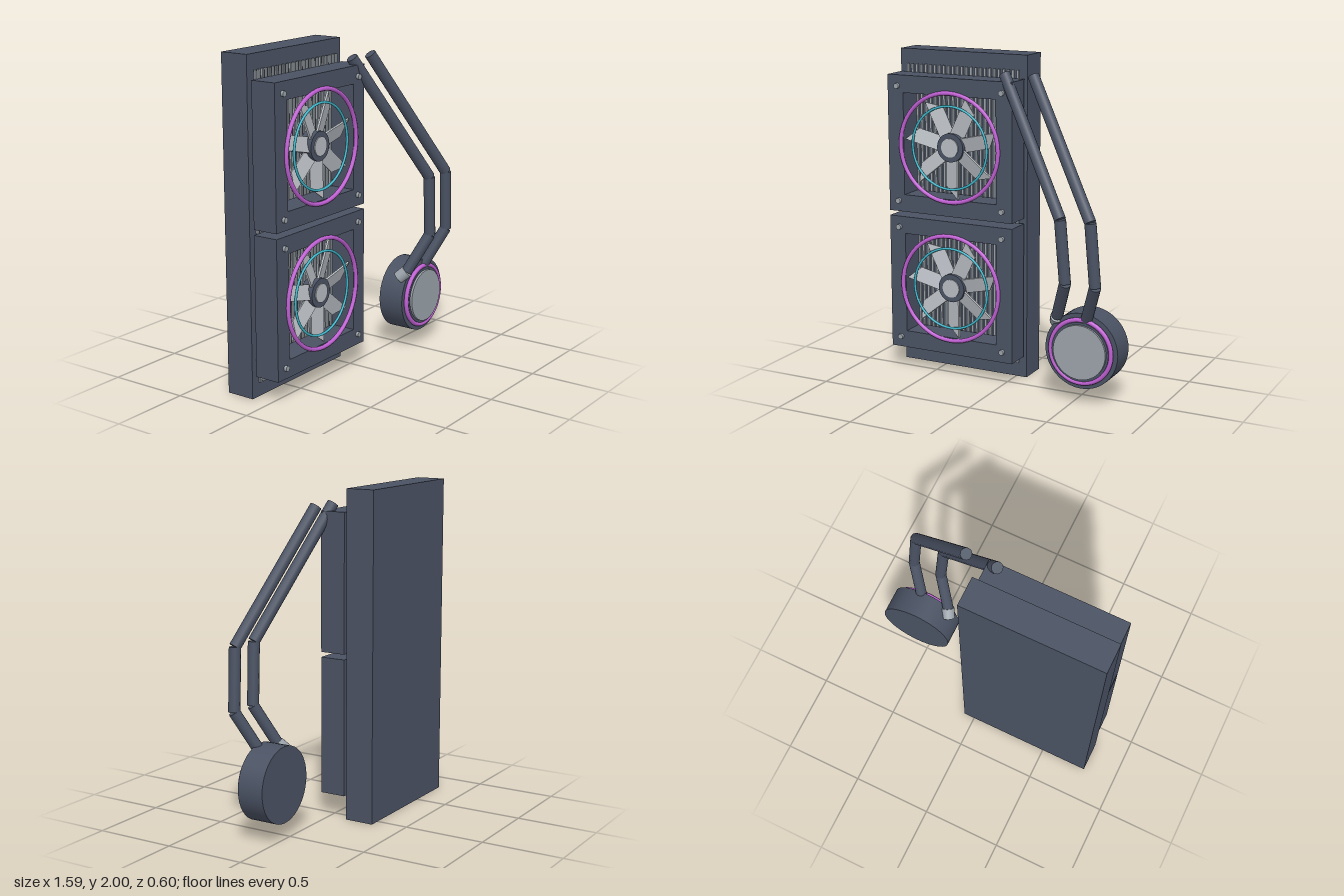
import * as THREE from 'three';

const mat = (name, color) => {
  const m = new THREE.MeshStandardMaterial({ color });
  m.name = name;
  return m;
};

export function createModel() {
  const dark = mat('slate', 0x4a5263);
  const blade = mat('lightGrey', 0xb8bdc3);
  const steel = mat('steelGrey', 0x9ba3aa);
  const pink = mat('violet', 0xc060d4);
  const cyan = mat('cyan', 0x3fb8cc);

  const model = new THREE.Group();
  model.name = 'liquidCooler';

  const add = (parent, name, geometry, material, x = 0, y = 0, z = 0) => {
    const mesh = new THREE.Mesh(geometry, material);
    mesh.name = name;
    mesh.position.set(x, y, z);
    parent.add(mesh);
    return mesh;
  };
  // Cylinder along z from z0 to z1
  const disc = (r, z0, z1, sides = 32) =>
    new THREE.CylinderGeometry(r, r, z1 - z0, sides).rotateX(Math.PI / 2).translate(0, 0, (z0 + z1) / 2);
  // Cylinder between two points
  const rod = (parent, name, a, b, r, material, sides) => {
    const dir = b.clone().sub(a);
    const mesh = add(parent, name, new THREE.CylinderGeometry(r, r, dir.length(), sides), material);
    mesh.position.copy(a).lerp(b, 0.5);
    mesh.quaternion.setFromUnitVectors(new THREE.Vector3(0, 1, 0), dir.normalize());
    return mesh;
  };

  // Radiator slab and its fins
  const cx = -0.363;
  add(model, 'radiator', new THREE.BoxGeometry(0.866, 2, 0.18), dark, cx, 1, -0.212);
  const fins = new THREE.Group();
  fins.name = 'fins';
  model.add(fins);
  const finGeo = new THREE.BoxGeometry(0.014, 1.82, 0.012);
  for (let i = 0; i < 25; i++) add(fins, 'fin', finGeo, steel, cx + (i - 12) * 0.0313, 1, -0.11);

  // Square fan frame with a square opening
  const square = (path, h) => path.moveTo(-h, -h).lineTo(h, -h).lineTo(h, h).lineTo(-h, h).closePath();
  const frameShape = square(new THREE.Shape(), 0.422);
  frameShape.holes.push(square(new THREE.Path(), 0.315));
  const frameGeo = new THREE.ExtrudeGeometry(frameShape, { depth: 0.16, bevelEnabled: false }).translate(0, 0, -0.1);

  // Raked blade, pitched around its own length
  const bladeShape = new THREE.Shape([
    new THREE.Vector2(0.06, -0.046), new THREE.Vector2(0.245, -0.046),
    new THREE.Vector2(0.315, 0.046), new THREE.Vector2(0.06, 0.046),
  ]);
  const bladeGeo = new THREE.ExtrudeGeometry(bladeShape, { depth: 0.012, bevelEnabled: false })
    .translate(0, 0, -0.006).rotateX(0.3);

  for (const [name, y] of [['upperFan', 1.438], ['lowerFan', 0.562]]) {
    const fan = new THREE.Group();
    fan.name = name;
    fan.position.set(cx, y, 0);
    model.add(fan);
    add(fan, 'fanFrame', frameGeo, dark);
    add(fan, 'outerLightRing', new THREE.TorusGeometry(0.332, 0.013, 8, 48), pink, 0, 0, 0.066);
    add(fan, 'innerLightRing', new THREE.TorusGeometry(0.253, 0.008, 8, 48), cyan, 0, 0, 0.058);
    add(fan, 'hub', disc(0.088, -0.03, 0.05), dark);
    add(fan, 'hubCap', disc(0.057, 0.05, 0.057), blade);
    for (let i = 0; i < 7; i++) {
      add(fan, 'fanBlade', bladeGeo, blade, 0, 0, 0.02).rotation.z = -Math.PI / 2 + (i * 2 * Math.PI) / 7;
    }
    for (const sx of [-1, 1]) for (const sy of [-1, 1]) {
      add(fan, 'screw', disc(0.017, 0.05, 0.078, 10), steel, sx * 0.355, sy * 0.355);
    }
  }

  // Round pump with a lit rim and a cap
  const pump = new THREE.Group();
  pump.name = 'pump';
  pump.position.set(0.56, 0.33, 0);
  model.add(pump);
  add(pump, 'pumpBody', disc(0.23, -0.006, 0.16, 40), dark);
  add(pump, 'pumpLightRing', new THREE.TorusGeometry(0.192, 0.014, 8, 48), pink, 0, 0, 0.17);
  add(pump, 'pumpBezel', disc(0.18, 0.16, 0.18, 40), dark);
  add(pump, 'pumpCap', disc(0.165, 0.18, 0.194, 40), steel);

  // Two bent hoses, each ending in a fitting on the pump
  const path = [[-0.01, 1.9, 0.02], [0.465, 1.13, 0.265], [0.495, 0.755, 0.255], [0.4, 0.52, 0.15]];
  for (const [name, dx] of [['rightHose', 0], ['leftHose', 0.187]]) {
    const hose = new THREE.Group();
    hose.name = name;
    model.add(hose);
    const pts = path.map(([x, y, z]) => new THREE.Vector3(x + dx, y, z));
    for (let i = 0; i < 3; i++) rod(hose, 'hoseSection', pts[i], pts[i + 1], 0.035, dark, 12);
    const end = new THREE.Vector3(0.375 + dx, 0.475, 0.105);
    rod(hose, 'fitting', end, pts[3], 0.04, steel, 16);
  }
  return model;
}
